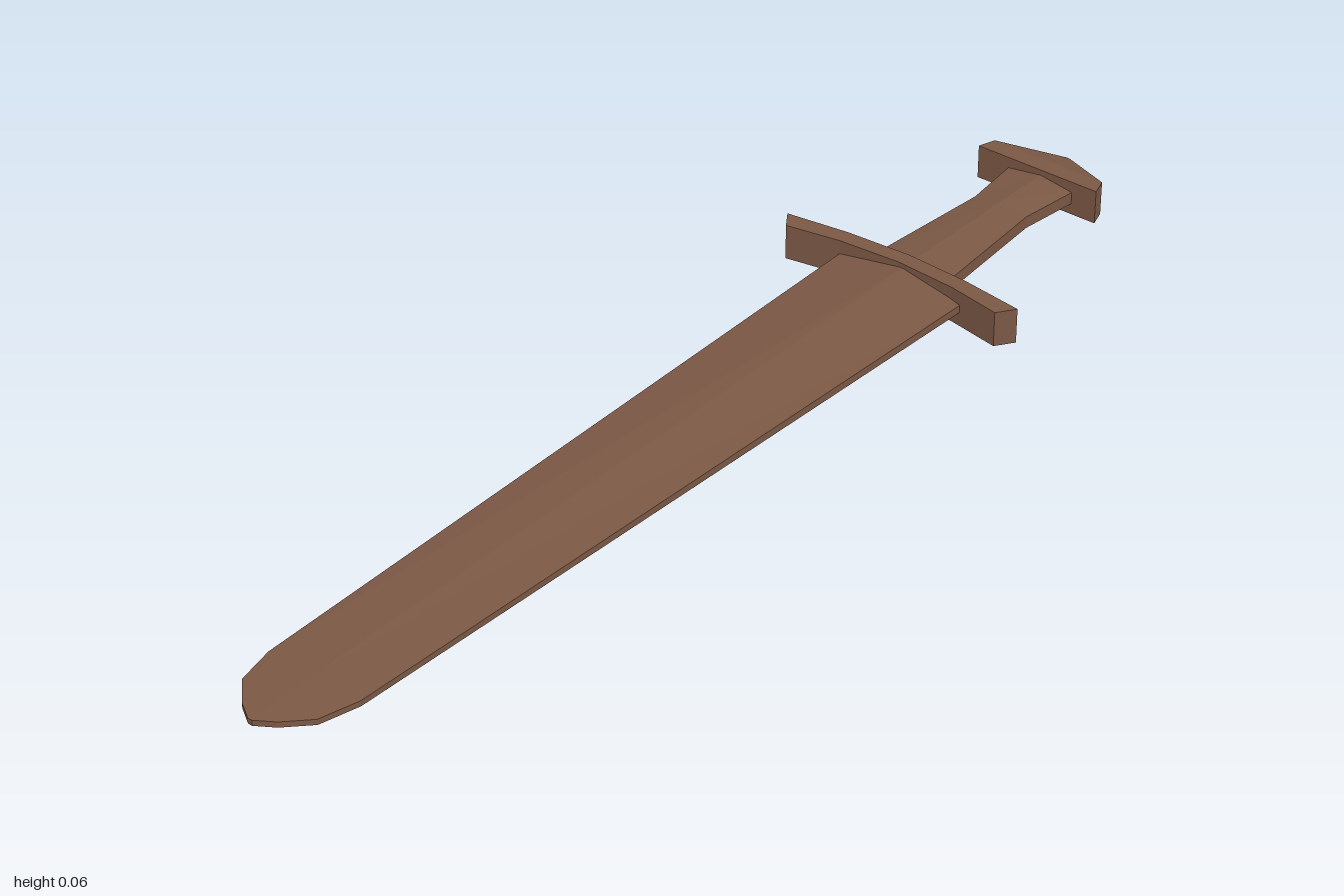
import * as THREE from 'three';

const MID = 0.032; // height of the sword's middle plane

// Lofts six-sided sections along z. Station: [z, centreX, halfWidth, edgeHalfHeight, ridgeHalfHeight]
function loft(stations) {
  const rings = stations.map(([z, c, w, e, r]) => [
    [c - w, -e], [c, -r], [c + w, -e], [c + w, e], [c, r], [c - w, e],
  ].map(([x, y]) => [x, MID + y, z]));
  const pos = [];
  const tri = (a, b, c) => pos.push(...a, ...b, ...c);
  for (let s = 0; s < rings.length - 1; s++) {
    const a = rings[s], b = rings[s + 1];
    for (let i = 0; i < 6; i++) {
      const j = (i + 1) % 6;
      tri(a[i], a[j], b[j]);
      tri(a[i], b[j], b[i]);
    }
  }
  // end caps
  const first = rings[0], last = rings[rings.length - 1];
  for (let i = 1; i < 5; i++) {
    tri(first[0], first[i + 1], first[i]);
    tri(last[0], last[i], last[i + 1]);
  }
  const g = new THREE.BufferGeometry();
  g.setAttribute('position', new THREE.Float32BufferAttribute(pos, 3));
  g.computeVertexNormals();
  return g;
}

export function createModel() {
  const group = new THREE.Group();
  const wood = new THREE.MeshStandardMaterial({ name: 'brownWood', color: 0x7b5845, flatShading: true });
  const add = (name, geometry) => {
    const mesh = new THREE.Mesh(geometry, wood);
    mesh.name = name;
    group.add(mesh);
  };

  // long tapering blade with a central ridge and rounded tip
  add('blade', loft([
    [-0.53, 0.01, 0.125, 0.007, 0.024],
    [0.87, 0.006, 0.091, 0.005, 0.008],
    [0.94, 0.005, 0.074, 0.005, 0.007],
    [0.98, 0.005, 0.035, 0.005, 0.006],
    [1.0, 0.005, 0.004, 0.005, 0.005],
  ]));

  // waisted grip
  add('grip', loft([
    [-0.93, 0.007, 0.068, 0.011, 0.021],
    [-0.8, 0.007, 0.053, 0.011, 0.021],
    [-0.53, 0.007, 0.074, 0.011, 0.023],
  ]));

  // pommel: flat block narrowing to a short vertical edge
  add('pommel', loft([
    [-1.0, 0.004, 0.003, 0.014, 0.014],
    [-0.945, 0, 0.112, 0.031, 0.031],
    [-0.913, 0, 0.122, 0.031, 0.031],
  ]));

  // crossguard: gently curved bar, ends swept towards the blade
  const half = [[0, 0.55], [0.12, 0.543], [0.236, 0.527], [0.214, 0.495], [0.115, 0.513], [0, 0.521]];
  const outline = [...half, ...half.slice(1, 5).reverse().map(([x, y]) => [-x, y])];
  const shape = new THREE.Shape(outline.map(([x, y]) => new THREE.Vector2(x, y)));
  const guard = new THREE.ExtrudeGeometry(shape, { depth: 0.064, bevelEnabled: false });
  guard.rotateX(-Math.PI / 2);
  add('crossguard', guard);

  return group;
}
